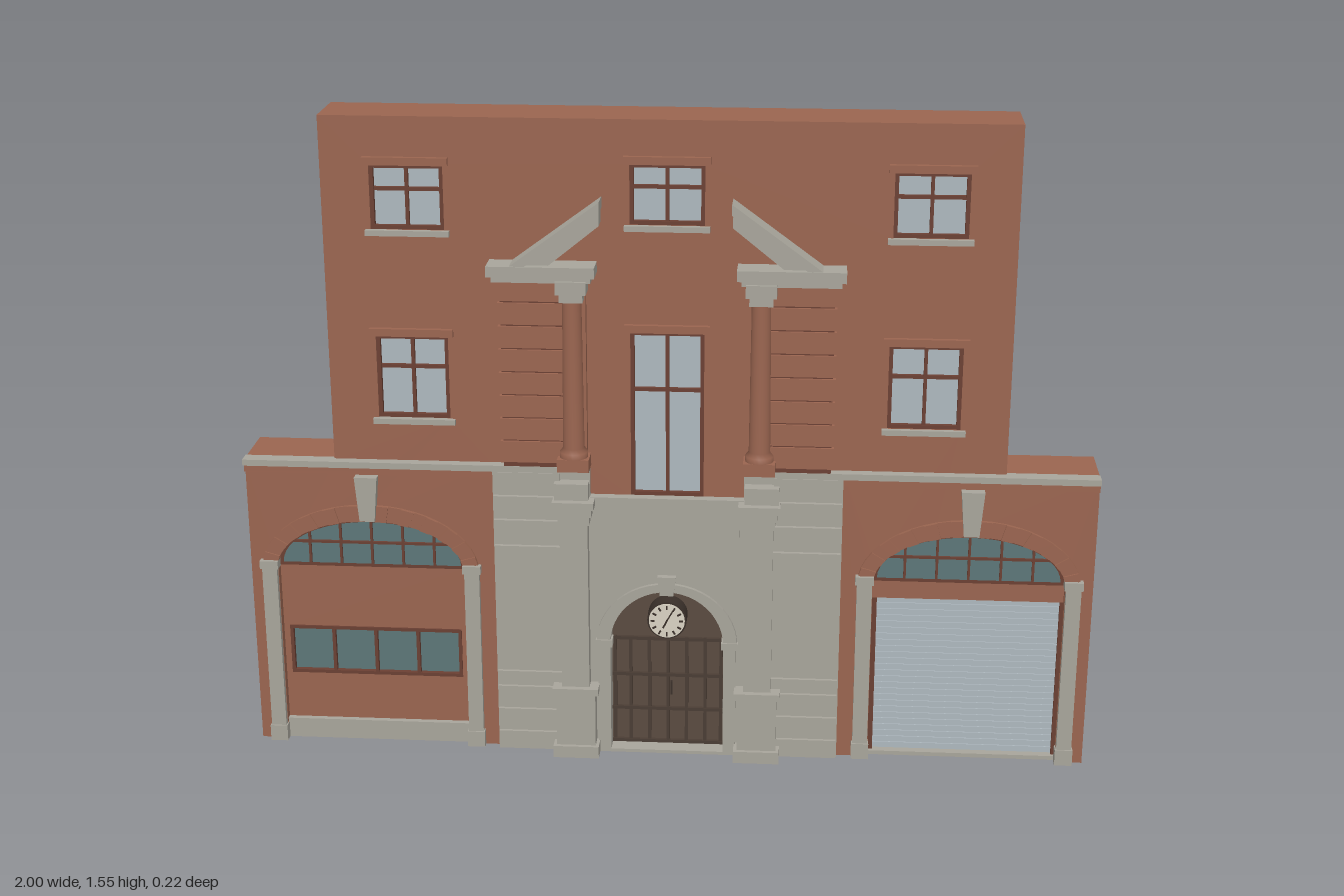
import * as THREE from 'three';

const mat = (name, color) => {
  const m = new THREE.MeshStandardMaterial({ color });
  m.name = name;
  return m;
};

export function createModel() {
  const root = new THREE.Group();
  root.name = 'townBuildingFacade';
  const brick = mat('brick', 0x9a6550), stone = mat('stone', 0xa8a59b);
  const pane = mat('paleGlass', 0xadb8be), teal = mat('tealGlass', 0x5c7678);
  const frame = mat('frameBrown', 0x6b4033), wood = mat('doorWood', 0x5a4b40);
  const darkWood = mat('doorRails', 0x4a3d34), cream = mat('clockFace', 0xd9d2c2);
  const ink = mat('clockInk', 0x3a302a);

  const add = (name, geo, m, parent = root) => {
    const mesh = new THREE.Mesh(geo, m);
    mesh.name = name;
    parent.add(mesh);
    return mesh;
  };
  // Box given by its limits
  const box = (name, m, x0, x1, y0, y1, z0, z1, parent) => {
    const mesh = add(name, new THREE.BoxGeometry(x1 - x0, y1 - y0, z1 - z0), m, parent);
    mesh.position.set((x0 + x1) / 2, (y0 + y1) / 2, (z0 + z1) / 2);
    return mesh;
  };
  // Extruded outline between two depths
  const slab = (name, m, shape, z0, z1, parent) => {
    const geo = new THREE.ExtrudeGeometry(shape, { depth: z1 - z0, bevelEnabled: false, curveSegments: 24 });
    geo.translate(0, 0, z0);
    return add(name, geo, m, parent);
  };
  const poly = (pts) => new THREE.Shape(pts.map(([x, y]) => new THREE.Vector2(x, y)));
  const rectHole = (x0, x1, y0, y1) => new THREE.Path([[x0, y0], [x0, y1], [x1, y1], [x1, y0]].map(p => new THREE.Vector2(...p)));
  // Points along an arch, left to right
  const arch = (cx, cy, a, b, n = 24) => Array.from({ length: n + 1 }, (_, i) => {
    const t = Math.PI * (1 - i / n);
    return [cx + a * Math.cos(t), cy + b * Math.sin(t)];
  });

  const BACK = -0.11, FRONT = 0.04, BAY = 0.71, SPRING = 0.455, A = 0.225, B = 0.125;
  const windows = [
    [-0.59, 0.084, 1.29, 1.44], [0.59, 0.084, 1.29, 1.44],
    [-0.59, 0.084, 0.84, 1.04], [0.59, 0.084, 0.84, 1.04],
    [0, 0.085, 1.31, 1.45],
  ];

  // Brick wall, with bay arches and the tall window cut into its outline
  const bayCut = (cx) => [[cx - A, 0], ...arch(cx, SPRING, A, B), [cx + A, 0]];
  const wall = poly([[-1, 0], ...bayCut(-BAY), [-0.41, 0], [-0.41, 0.73], [-0.18, 0.73], [-0.18, 0.66],
    [-0.085, 0.66], [-0.085, 1.06], [0.085, 1.06], [0.085, 0.66], [0.18, 0.66], [0.18, 0.73], [0.41, 0.73], [0.41, 0],
    ...bayCut(BAY), [1, 0], [1, 0.73], [0.785, 0.73], [0.785, 1.55], [-0.785, 1.55], [-0.785, 0.73], [-1, 0.73]]);
  windows.forEach(([cx, hw, y0, y1]) => wall.holes.push(rectHole(cx - hw, cx + hw, y0, y1)));
  slab('brickWall', brick, wall, BACK, FRONT);

  // Stone entrance block
  slab('stoneEntrance', stone, poly([[-0.41, 0], [-0.135, 0], ...arch(0, 0.29, 0.135, 0.135), [0.135, 0], [0.41, 0],
    [0.41, 0.73], [0.18, 0.73], [0.18, 0.66], [-0.18, 0.66], [-0.18, 0.73], [-0.41, 0.73]]), BACK, 0.052);

  // Sash windows with frame, bars, sill and lintel
  const sash = (cx, hw, y0, y1, barY) => {
    const g = new THREE.Group();
    g.name = 'window';
    root.add(g);
    const l = cx - hw, r = cx + hw, t = 0.009;
    box('glass', pane, l, r, y0, y1, 0.018, 0.024, g);
    box('frameLeft', frame, l, l + t, y0, y1, 0.02, 0.036, g);
    box('frameRight', frame, r - t, r, y0, y1, 0.02, 0.036, g);
    box('frameTop', frame, l, r, y1 - t, y1, 0.02, 0.036, g);
    box('frameBottom', frame, l, r, y0, y0 + t, 0.02, 0.036, g);
    box('centreBar', frame, cx - 0.004, cx + 0.004, y0, y1, 0.02, 0.034, g);
    box('crossBar', frame, l, r, barY - 0.004, barY + 0.004, 0.02, 0.034, g);
    box('lintel', brick, l - 0.013, r + 0.013, y1, y1 + 0.018, 0.03, 0.052, g);
    return g;
  };
  windows.forEach(([cx, hw, y0, y1]) => {
    const g = sash(cx, hw, y0, y1, y0 + (y1 - y0) * 0.62);
    box('sill', stone, cx - hw - 0.012, cx + hw + 0.012, y0 - 0.013, y0, 0.03, 0.052, g);
  });
  sash(0, 0.085, 0.66, 1.06, 0.92);

  // Side bays
  const bay = (cx) => {
    const g = new THREE.Group();
    g.name = cx < 0 ? 'rightBay' : 'leftBay';
    root.add(g);
    // Fan window and its bars
    slab('fanGlass', teal, poly(arch(cx, SPRING, A, B)), 0.008, 0.016, g);
    for (let i = -2; i <= 2; i++) {
      const x = i * 0.075, h = B * Math.sqrt(1 - (x / A) ** 2);
      box('fanBar', frame, cx + x - 0.003, cx + x + 0.003, SPRING, SPRING + h, 0.012, 0.022, g);
    }
    const w = A * Math.sqrt(1 - (0.06 / B) ** 2);
    box('fanCrossBar', frame, cx - w, cx + w, SPRING + 0.057, SPRING + 0.063, 0.012, 0.022, g);
    const rim = poly(arch(cx, SPRING, A, B));
    rim.holes.push(new THREE.Path(arch(cx, SPRING + 0.008, A - 0.01, B - 0.018).map(p => new THREE.Vector2(...p))));
    slab('fanFrame', frame, rim, 0.012, 0.026, g);
    // Brick arch blocks
    const n = 25, out = arch(cx, SPRING, A + 0.036, B + 0.04, n), inn = arch(cx, SPRING, A, B, n);
    for (let i = 0; i < n; i++) {
      slab('archBrick', brick, poly([inn[i], inn[i + 1], out[i + 1], out[i]]), 0.03, i % 2 ? 0.05 : 0.046, g);
    }
    slab('keystone', stone, poly([[cx - 0.018, 0.585], [cx + 0.018, 0.585], [cx + 0.027, 0.695], [cx - 0.027, 0.695]]), 0.035, 0.062, g);
    // Stone piers
    for (const s of [-1, 1]) {
      const c = cx + s * (A + 0.019);
      box('pier', stone, c - 0.018, c + 0.018, 0, 0.46, 0.03, 0.054, g);
      box('pierCap', stone, c - 0.022, c + 0.022, 0.455, 0.475, 0.03, 0.059, g);
      box('pierFoot', stone, c - 0.021, c + 0.021, 0, 0.04, 0.03, 0.058, g);
    }
    return g;
  };

  // Bay with brick infill and a strip window
  const windowBay = bay(-BAY);
  const infill = poly([[-BAY - A, 0], [-BAY + A, 0], [-BAY + A, SPRING], [-BAY - A, SPRING]]);
  infill.holes.push(rectHole(-0.92, -0.5, 0.17, 0.295));
  slab('brickInfill', brick, infill, -0.005, 0.02, windowBay);
  box('stripGlass', teal, -0.92, -0.5, 0.17, 0.295, 0.004, 0.012, windowBay);
  for (let i = 0; i <= 4; i++) {
    const x = -0.916 + i * 0.103;
    box('stripBar', frame, x - 0.004, x + 0.004, 0.17, 0.295, 0.008, 0.024, windowBay);
  }
  for (const y of [0.174, 0.291]) box('stripRail', frame, -0.92, -0.5, y - 0.004, y + 0.004, 0.008, 0.024, windowBay);
  box('plinth', stone, -BAY - A, -BAY + A, 0, 0.05, 0, 0.034, windowBay);

  // Bay with a roller shutter
  const shutterBay = bay(BAY);
  box('shutterLintel', brick, BAY - A, BAY + A, 0.41, SPRING, -0.005, 0.022, shutterBay);
  box('shutterBack', pane, BAY - A + 0.012, BAY + A - 0.008, 0.01, 0.41, 0.002, 0.01, shutterBay);
  for (let i = 0; i < 25; i++) {
    box('shutterSlat', pane, BAY - A + 0.012, BAY + A - 0.008, 0.012 + i * 0.016, 0.026 + i * 0.016, 0.008, 0.013, shutterBay);
  }
  box('shutterGuide', frame, BAY - A, BAY - A + 0.012, 0, 0.41, 0, 0.02, shutterBay);
  box('shutterGuide', frame, BAY + A - 0.008, BAY + A, 0, 0.41, 0, 0.02, shutterBay);
  box('shutterSill', stone, BAY - A, BAY + A, 0, 0.01, 0, 0.03, shutterBay);

  // Door with rails and studs
  slab('door', wood, poly([[-0.135, 0], ...arch(0, 0.29, 0.135, 0.135), [0.135, 0]]), 0, 0.012);
  for (const x of [-0.128, -0.09, -0.045, 0, 0.045, 0.09, 0.128]) box('doorStile', darkWood, x - 0.004, x + 0.004, 0.008, 0.29, 0.01, 0.018);
  for (const y of [0.012, 0.1, 0.19, 0.285]) box('doorRail', darkWood, -0.135, 0.135, y - 0.004, y + 0.004, 0.01, 0.02);
  box('doorHandle', ink, 0.006, 0.011, 0.14, 0.175, 0.015, 0.024);
  box('threshold', stone, -0.135, 0.135, 0, 0.008, BACK, 0.06);

  // Door surround
  const surround = poly([[-0.165, 0.29], ...arch(0, 0.29, 0.168, 0.155), [0.165, 0.29], [0.135, 0.29],
    ...arch(0, 0.29, 0.135, 0.135).reverse(), [-0.135, 0.29]]);
  slab('doorArch', stone, surround, 0.04, 0.062);
  slab('doorKeystone', stone, poly([[-0.016, 0.418], [0.016, 0.418], [0.022, 0.465], [-0.022, 0.465]]), 0.045, 0.068);
  box('signPanel', stone, -0.17, 0.17, 0.49, 0.645, 0.045, 0.057);
  box('signLedge', stone, -0.18, 0.18, 0.645, 0.662, 0.04, 0.064);

  // Clock
  const clock = new THREE.Group();
  clock.name = 'clock';
  clock.position.set(0, 0.35, 0);
  root.add(clock);
  const disc = (name, m, r, z0, z1) => {
    const geo = new THREE.CylinderGeometry(r, r, z1 - z0, 32).rotateX(Math.PI / 2);
    add(name, geo, m, clock).position.z = (z0 + z1) / 2;
  };
  disc('clockCase', ink, 0.047, 0.01, 0.056);
  disc('clockFace', cream, 0.043, 0.05, 0.059);
  const mark = (name, angle, r0, r1, w) => {
    const geo = new THREE.BoxGeometry(w, r1 - r0, 0.003).translate(0, (r0 + r1) / 2, 0.06);
    add(name, geo, ink, clock).rotation.z = -angle;
  };
  for (let i = 0; i < 12; i++) mark('hourMark', i * Math.PI / 6, 0.029, 0.039, 0.004);
  mark('hourHand', 3.6, -0.004, 0.02, 0.004);
  mark('minuteHand', 0.5, -0.005, 0.028, 0.003);

  // Mirrored flanks; both built for the +x side and placed by sign
  for (const s of [-1, 1]) {
    const g = new THREE.Group();
    g.name = s < 0 ? 'rightFlank' : 'leftFlank';
    root.add(g);
    const side = (name, m, x0, x1, y0, y1, z0, z1) => box(name, m, s > 0 ? x0 : -x1, s > 0 ? x1 : -x0, y0, y1, z0, z1, g);

    // Cornice over the bays and flanks
    side('corniceTop', stone, 0.18, 1, 0.72, 0.735, 0.03, 0.065);
    side('corniceBand', brick, 0.41, 1, 0.7, 0.72, 0.03, 0.052);

    // Rusticated stone courses
    const rows = [0, 0.05, 0.11, 0.17, 0.21, 0.535, 0.6, 0.66, 0.72];
    for (let i = 0; i < rows.length - 1; i++) side('stoneCourse', stone, 0.25, 0.408, rows[i] + 0.002, rows[i + 1] - 0.002, 0.045, 0.062);

    // Door jamb, pedestal, lower pilaster and capital
    side('doorJamb', stone, 0.135, 0.165, 0, 0.29, 0.03, 0.06);
    side('jambCap', stone, 0.13, 0.17, 0.28, 0.298, 0.03, 0.066);
    side('pedestalFoot', stone, 0.162, 0.272, 0, 0.03, 0.04, 0.1);
    side('pedestal', stone, 0.17, 0.264, 0.03, 0.165, 0.04, 0.09);
    side('pedestalCap', stone, 0.162, 0.272, 0.165, 0.182, 0.04, 0.099);
    side('lowerPilaster', stone, 0.184, 0.25, 0.182, 0.605, 0.04, 0.084);
    [[0.18, 0.254, 0.6, 0.622, 0.09], [0.174, 0.26, 0.622, 0.642, 0.095], [0.168, 0.266, 0.642, 0.66, 0.102],
      [0.182, 0.262, 0.66, 0.7, 0.084]].forEach(([a, b, y0, y1, z]) => side('lowerCapital', stone, a, b, y0, y1, 0.04, z));

    // Brick pier in banded courses
    side('pierCore', frame, 0.235, 0.38, 0.735, 1.19, 0.03, 0.064);
    for (let i = 0; i < 8; i++) side('brickCourse', brick, 0.23, 0.386, 0.747 + i * 0.0555, 0.798 + i * 0.0555, 0.03, 0.07);

    // Upper brick column on its base
    side('columnPlinth', brick, 0.178, 0.252, 0.735, 0.765, 0.03, 0.098);
    side('columnBacking', brick, 0.185, 0.24, 0.765, 1.17, 0.03, 0.058);
    const column = new THREE.LatheGeometry([[0.033, 0.765], [0.033, 0.778], [0.025, 0.788], [0.022, 1.15]].map(p => new THREE.Vector2(...p)), 20);
    add('upperColumn', column, brick, g).position.set(s * 0.215, 0, 0.068);
    [[0.188, 0.242, 1.14, 1.16, 0.094], [0.18, 0.25, 1.16, 1.19, 0.1]].forEach(([a, b, y0, y1, z]) => side('upperCapital', stone, a, b, y0, y1, 0.03, z));

    // Entablature and broken pediment
    side('entablature', stone, 0.17, 0.395, 1.185, 1.2, 0.03, 0.092);
    side('entablatureTop', stone, 0.16, 0.405, 1.2, 1.225, 0.03, 0.106);
    const rake = (a) => poly(a.map(([x, y]) => [s * x, y]));
    slab('rakingBlock', stone, rake([[0.34, 1.225], [0.15, 1.355], [0.15, 1.318], [0.265, 1.225]]), FRONT, 0.088, g);
    slab('rakingCornice', stone, rake([[0.352, 1.225], [0.148, 1.375], [0.148, 1.35], [0.318, 1.225]]), FRONT, 0.102, g);
  }
  return root;
}
